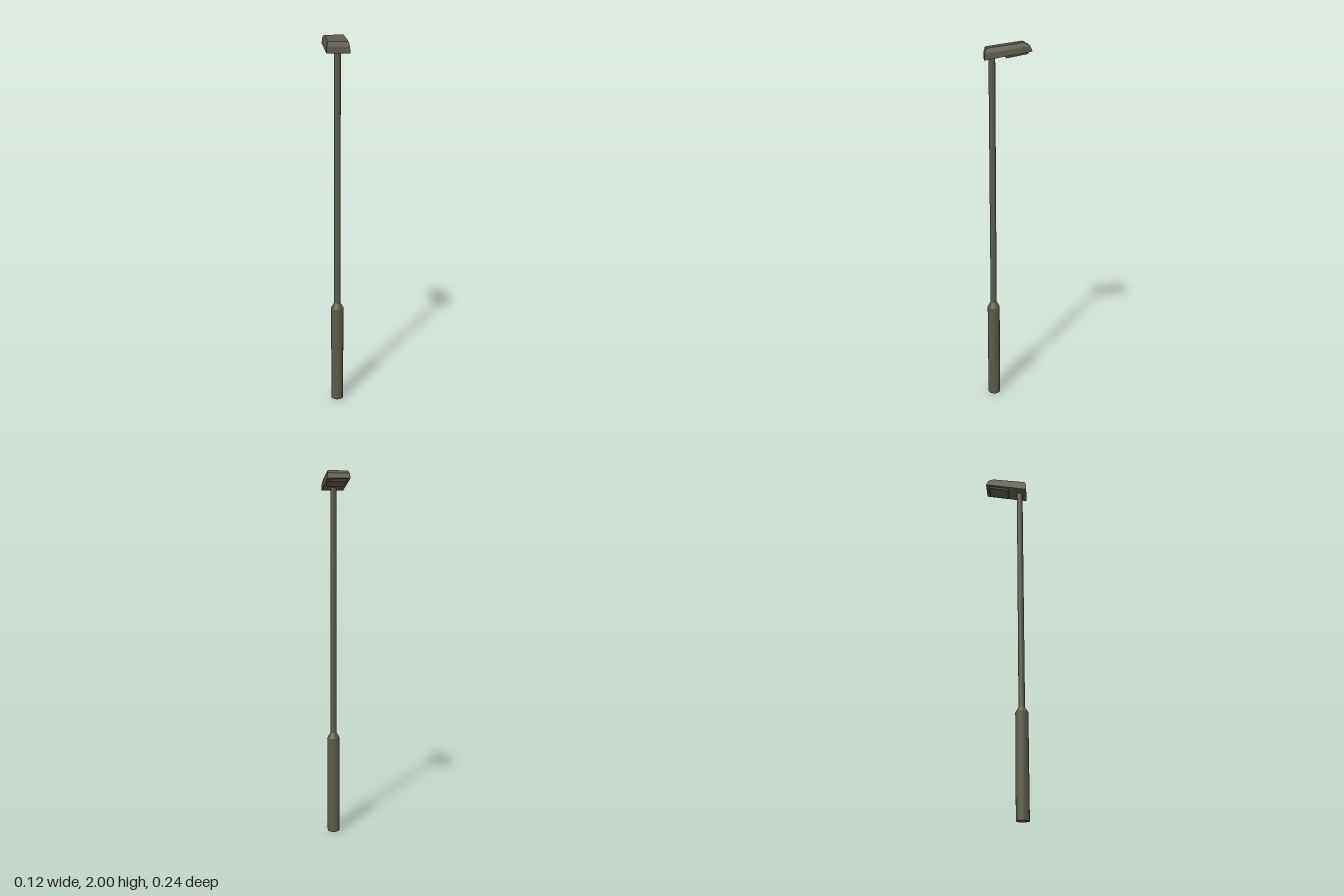
import * as THREE from 'three';

const metal = new THREE.MeshStandardMaterial({ color: 0x5b5a49 });
metal.name = 'olive grey metal';

const POLE_Z = 0.079;

// Loft through four-cornered rings, listed from bottom to top.
// Each ring: half width, front [z, y], back [z, y]
function loftRings(rings) {
  const loops = rings.map(([w, [zf, yf], [zb, yb]]) => [
    [w, yf, zf], [w, yb, zb], [-w, yb, zb], [-w, yf, zf],
  ]);
  const pos = [];
  const quad = (a, b, c, d) => pos.push(...a, ...b, ...c, ...a, ...c, ...d);
  for (let r = 0; r < loops.length - 1; r++) {
    for (let i = 0; i < 4; i++) {
      const j = (i + 1) % 4;
      quad(loops[r][i], loops[r][j], loops[r + 1][j], loops[r + 1][i]);
    }
  }
  const first = loops[0];
  quad(first[3], first[2], first[1], first[0]);
  quad(...loops[loops.length - 1]);
  const geo = new THREE.BufferGeometry();
  geo.setAttribute('position', new THREE.Float32BufferAttribute(pos, 3));
  geo.computeVertexNormals();
  return geo;
}

export function createModel() {
  const lamp = new THREE.Group();
  lamp.name = 'streetLamp';

  const add = (name, geo) => {
    const mesh = new THREE.Mesh(geo, metal);
    mesh.name = name;
    lamp.add(mesh);
  };

  // Round pole section between two heights
  const section = (name, rBottom, rTop, y0, y1, open) => {
    const geo = new THREE.CylinderGeometry(rTop, rBottom, y1 - y0, 20, 1, open);
    geo.translate(0, (y0 + y1) / 2, POLE_Z);
    add(name, geo);
  };
  section('poleBase', 0.034, 0.034, 0, 0.55, false);
  section('poleCollar', 0.034, 0.017, 0.55, 0.58, true);
  section('poleShaft', 0.017, 0.017, 0.57, 1.935, false);

  // Tilted lamp housing with bevelled upper edges
  add('lampHousing', loftRings([
    [0.059, [0.119, 1.915], [-0.119, 1.957]],
    [0.058, [0.118, 1.947], [-0.107, 1.984]],
    [0.051, [0.11, 1.973], [-0.077, 2.0]],
  ]));

  // Shallow lens panel under the housing, behind the pole
  add('lensPanel', loftRings([
    [0.042, [0.01, 1.923], [-0.098, 1.943]],
    [0.046, [0.016, 1.935], [-0.104, 1.956]],
  ]));

  return lamp;
}
